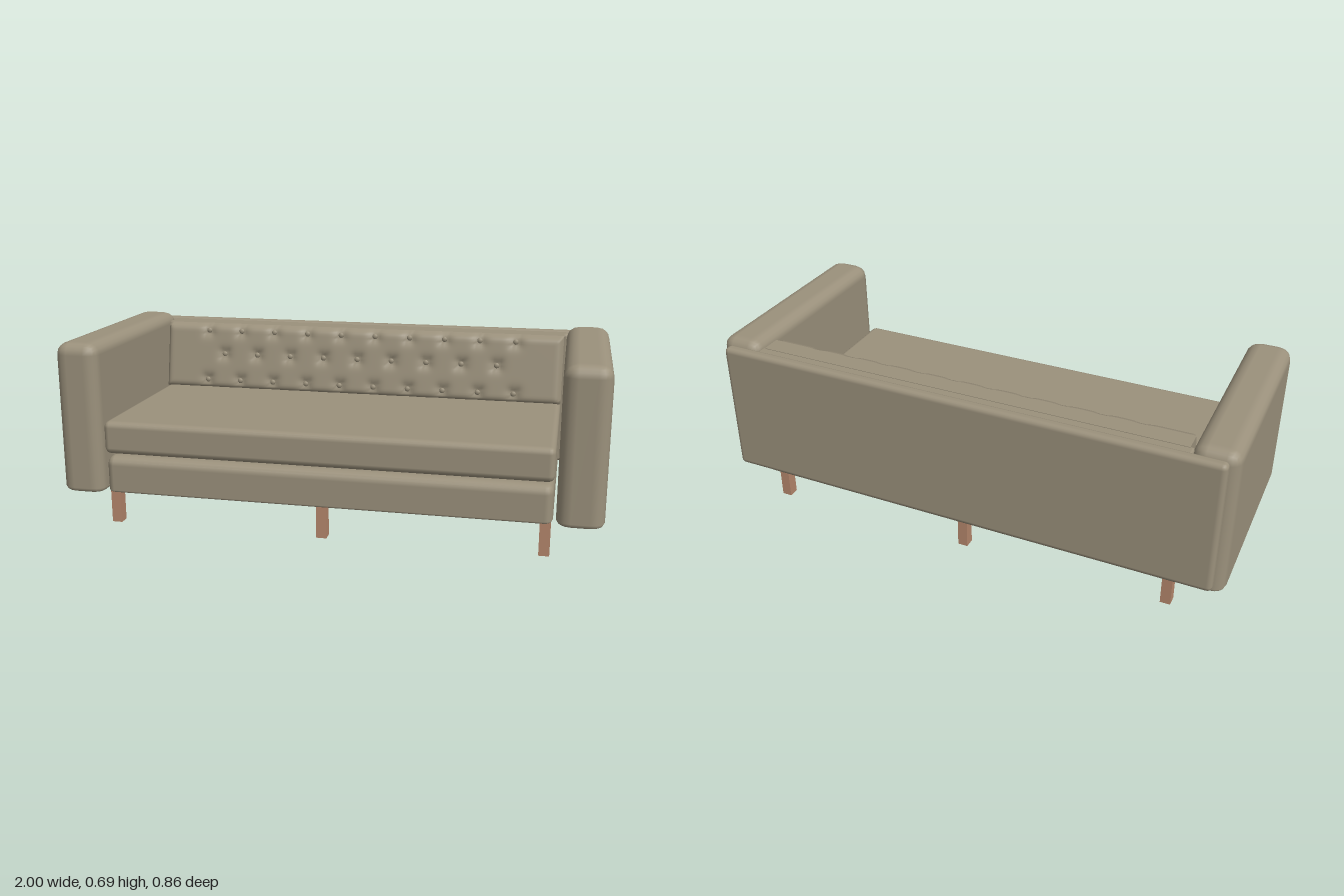
import * as THREE from 'three';
import { RoundedBoxGeometry } from 'three/addons/geometries/RoundedBoxGeometry.js';

const fabric = new THREE.MeshStandardMaterial({ name: 'taupeUpholstery', color: 0x9b917c });
const wood = new THREE.MeshStandardMaterial({ name: 'warmWood', color: 0xb5876c });

// Box from min to max with elliptical soft edges; "under" scales the rounding below the middle
function softBox(min, max, radii, under = 1) {
  const size = max.map((m, i) => m - min[i]);
  const geo = new RoundedBoxGeometry(size[0] / radii[0], size[1] / radii[1], size[2] / radii[2], 2, 1);
  geo.scale(...radii);
  const pos = geo.attributes.position;
  for (let i = 0; i < pos.count; i++) {
    const y = pos.getY(i);
    if (y < 0) pos.setY(i, -size[1] / 2 + (y + size[1] / 2) * under);
  }
  return geo.translate(...min.map((m, i) => (m + max[i]) / 2));
}

// Button positions: rows of ten, nine and ten, staggered
const SPACING = 0.142;
const buttons = [];
for (const [y, count] of [[0.635, 10], [0.54, 9], [0.432, 10]]) {
  for (let i = 0; i < count; i++) buttons.push([(i - (count - 1) / 2) * SPACING, y]);
}

// Tufted back cushion limits
const HALF = 0.825, LOW = 0.395, HIGH = 0.662, REAR = -0.36, ROUND = 0.028;

// Front surface of the cushion: leaning, rounded at the rim, dimpled at each button
function tuftedFront(x, y) {
  let z = THREE.MathUtils.mapLinear(y, LOW, HIGH, -0.208, -0.258);
  const rim = Math.max(0, Math.min(HALF - Math.abs(x), y - LOW, HIGH - y));
  if (rim < ROUND) z -= ROUND - Math.sqrt(ROUND ** 2 - (ROUND - rim) ** 2);
  for (const [bx, by] of buttons) {
    const dx = x - bx, dy = y - by, r = Math.hypot(dx, dy);
    if (r > 0.09) continue;
    const pleat = 1 + 0.25 * Math.cos(4 * Math.atan2(dy, dx) + Math.PI);
    z -= 0.014 * pleat * Math.exp(-((r / 0.026) ** 2));
  }
  return z;
}

function tuftedCushion() {
  const geo = new THREE.BoxGeometry(2 * HALF, HIGH - LOW, 0.1, 180, 30, 1);
  geo.translate(0, (LOW + HIGH) / 2, 0);
  const pos = geo.attributes.position;
  for (let i = 0; i < pos.count; i++) {
    const front = pos.getZ(i) > 0;
    pos.setZ(i, front ? tuftedFront(pos.getX(i), pos.getY(i)) : REAR);
  }
  geo.computeVertexNormals();
  return geo;
}

export function createModel() {
  const sofa = new THREE.Group();
  sofa.name = 'sofa';
  const add = (name, geo, material = fabric) => {
    const mesh = new THREE.Mesh(geo, material);
    mesh.name = name;
    sofa.add(mesh);
    return mesh;
  };

  // Arms
  add('leftArm', softBox([0.835, 0.115, -0.397], [1, 0.69, 0.428], [0.05, 0.045, 0.045], 0.5));
  add('rightArm', softBox([-1, 0.115, -0.397], [-0.835, 0.69, 0.428], [0.05, 0.045, 0.045], 0.5));

  // Back: outer panel behind the arms and inner frame between them
  add('backPanel', softBox([-0.965, 0.145, -0.43], [0.965, 0.666, -0.385], [0.02, 0.02, 0.018]));
  add('backFrame', softBox([-0.84, 0.13, -0.41], [0.84, 0.66, -0.345], [0.01, 0.012, 0.015]));

  // Base and seat
  add('base', softBox([-0.825, 0.12, -0.39], [0.825, 0.265, 0.415], [0.03, 0.035, 0.04], 0.4));
  add('seatCushion', softBox([-0.825, 0.275, -0.35], [0.825, 0.4, 0.42], [0.022, 0.024, 0.025]));

  // Back cushion with its buttons
  add('backCushion', tuftedCushion());
  const buttonGeo = new THREE.SphereGeometry(0.011, 10, 6).scale(1, 1, 0.6);
  for (const [x, y] of buttons) {
    add('button', buttonGeo).position.set(x, y, tuftedFront(x, y) + 0.003);
  }

  // Legs
  const legGeo = new THREE.BoxGeometry(0.038, 0.13, 0.04);
  for (const x of [-0.8, 0, 0.8]) {
    for (const z of [-0.355, 0.37]) add('leg', legGeo, wood).position.set(x, 0.065, z);
  }
  return sofa;
}
